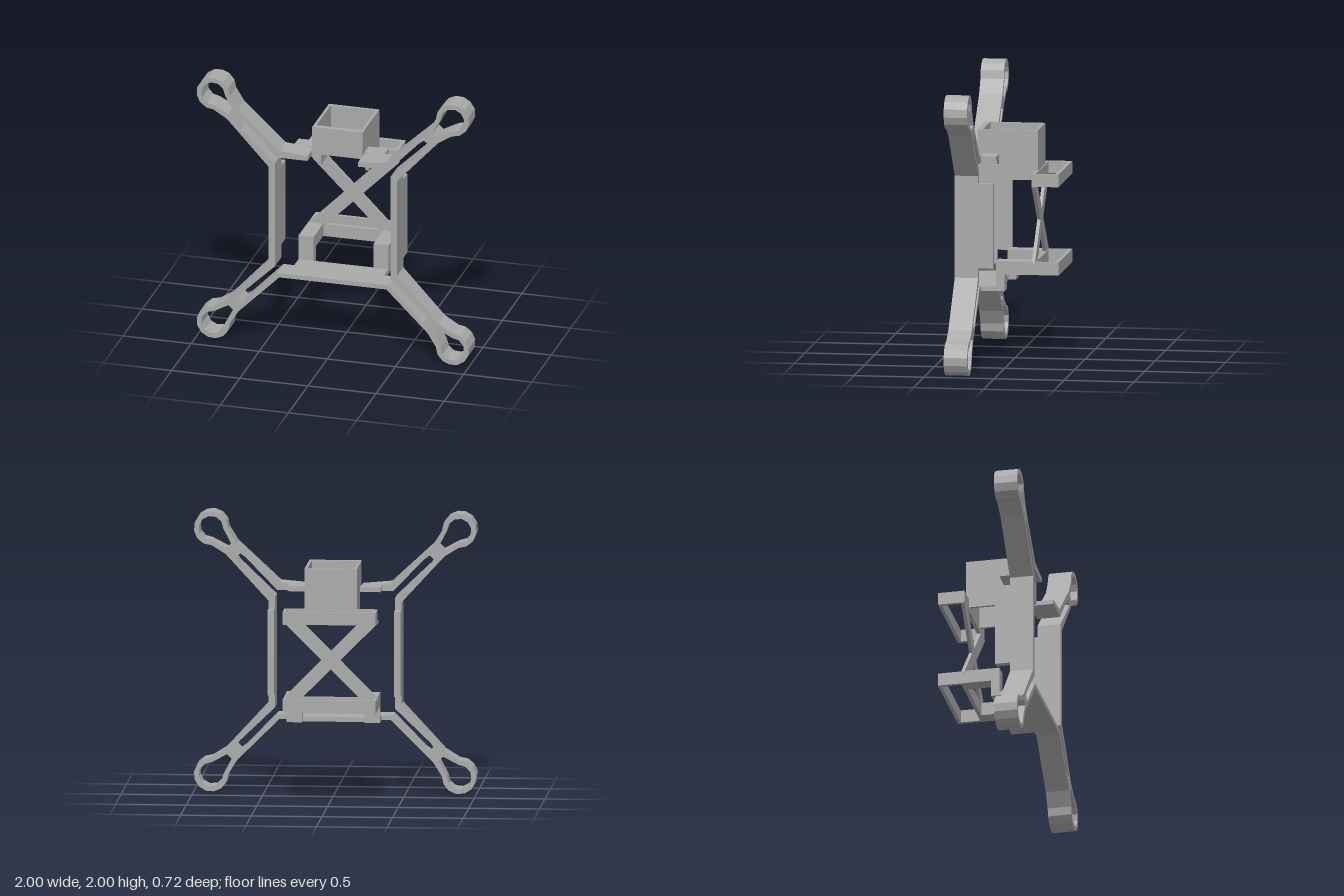
import * as THREE from 'three';

export function createModel() {
  const model = new THREE.Group();
  model.name = 'quadFrame';
  const grey = new THREE.MeshStandardMaterial({ color: 0xaaaaaa, flatShading: true });
  grey.name = 'plainGrey';

  const add = (geometry, name) => {
    const mesh = new THREE.Mesh(geometry, grey);
    mesh.name = name;
    model.add(mesh);
    return mesh;
  };
  // Box given by its limits on each axis
  const block = (name, x0, x1, y0, y1, z0, z1) => {
    const mesh = add(new THREE.BoxGeometry(Math.abs(x1 - x0), y1 - y0, z1 - z0), name);
    mesh.position.set((x0 + x1) / 2, (y0 + y1) / 2, (z0 + z1) / 2);
  };
  // Extruded outline with optional holes, starting at z0; every loop is made counter-clockwise
  const slab = (name, points, holes, z0, z1) => {
    const loop = (list) => {
      const pts = list.map(([x, y]) => new THREE.Vector2(x, y));
      return THREE.ShapeUtils.isClockWise(pts) ? pts.reverse() : pts;
    };
    const shape = new THREE.Shape(loop(points));
    holes.forEach((h) => shape.holes.push(new THREE.Path(loop(h))));
    const geometry = new THREE.ExtrudeGeometry(shape, { depth: z1 - z0, bevelEnabled: false });
    geometry.translate(0, 0, z0);
    return add(geometry, name);
  };
  const arc = (c, r, from, to, n) => Array.from({ length: n + 1 }, (_, i) => {
    const a = THREE.MathUtils.degToRad(from + ((to - from) * i) / n);
    return [c + r * Math.cos(a), c + r * Math.sin(a)];
  });

  // Four arms: motor ring, split rails, half a side wall and half a cross bar
  for (const sx of [1, -1]) {
    for (const sy of [1, -1]) {
      const [barEnd, barOuter] = sy > 0 ? [0.185, 0.495] : [0, 0.476];
      const outline = [
        [0.425, 0], [0.47, 0], [0.47, 0.364], [0.775, 0.695],
        ...arc(0.878, 0.122, -92, 182, 10),
        [0.695, 0.775], [0.393, barOuter], [barEnd, 0.476], [barEnd, 0.443], [0.41, 0.443],
        [0.635, 0.675], [0.67, 0.7], [0.7, 0.67], [0.675, 0.635], [0.425, 0.395],
      ];
      const hole = [...arc(0.878, 0.087, -92, 182, 8), [0.733, 0.765], [0.765, 0.733]];
      const place = ([a, b]) => [sx * a, 1 + sy * b];
      slab('arm', outline.map(place), [hole.map(place)], 0.193, 0.36);
    }
    // Deep part of the side wall
    block('sideWall', sx * 0.425, sx * 0.47, 0.705, 1.31, 0.085, 0.195);
    // Ledge joining the upper arm to the box
    block('upperLedge', sx * 0.18, sx * 0.33, 1.45, 1.485, 0.085, 0.2);
    // Post and rail carrying the lower tray
    block('lowerPost', sx * 0.22, sx * 0.33, 0.525, 0.74, 0.025, 0.085);
    block('lowerRail', sx * 0.22, sx * 0.33, 0.645, 0.74, -0.18, 0.085);
    // Stepped side of the box
    const side = slab('boxSide', [
      [-0.24, 1.655], [-0.24, 1.45], [-0.09, 1.45], [-0.09, 1.3], [0.19, 1.3], [0.19, 1.655],
    ], [], -0.01, 0.01);
    side.rotation.y = Math.PI / 2;
    side.position.x = sx * 0.175;
  }

  // Rear part of the bottom plate
  block('bottomPlate', -0.33, 0.33, 0.524, 0.557, 0.08, 0.2);

  // Open box: front and back walls
  block('boxFront', -0.185, 0.185, 1.45, 1.655, 0.2, 0.24);
  block('boxBack', -0.185, 0.185, 1.3, 1.655, -0.19, -0.168);

  // Two open rectangular trays
  for (const [name, y0, y1] of [['lowerTray', 0.645, 0.738], ['upperTray', 1.275, 1.365]]) {
    const tray = slab(name,
      [[-0.33, -0.36], [0.33, -0.36], [0.33, -0.168], [-0.33, -0.168]],
      [[[-0.305, -0.335], [0.305, -0.335], [0.305, -0.195], [-0.305, -0.195]]], -y1, -y0);
    tray.rotation.x = Math.PI / 2;
  }

  // Crossed brace between the trays
  for (const s of [1, -1]) {
    slab('crossBrace', [
      [-0.235 * s, 0.7], [-0.335 * s, 0.7], [-0.335 * s, 0.73],
      [0.215 * s, 1.285], [0.335 * s, 1.285], [0.335 * s, 1.27],
    ], [], -0.192, -0.168);
  }
  return model;
}
